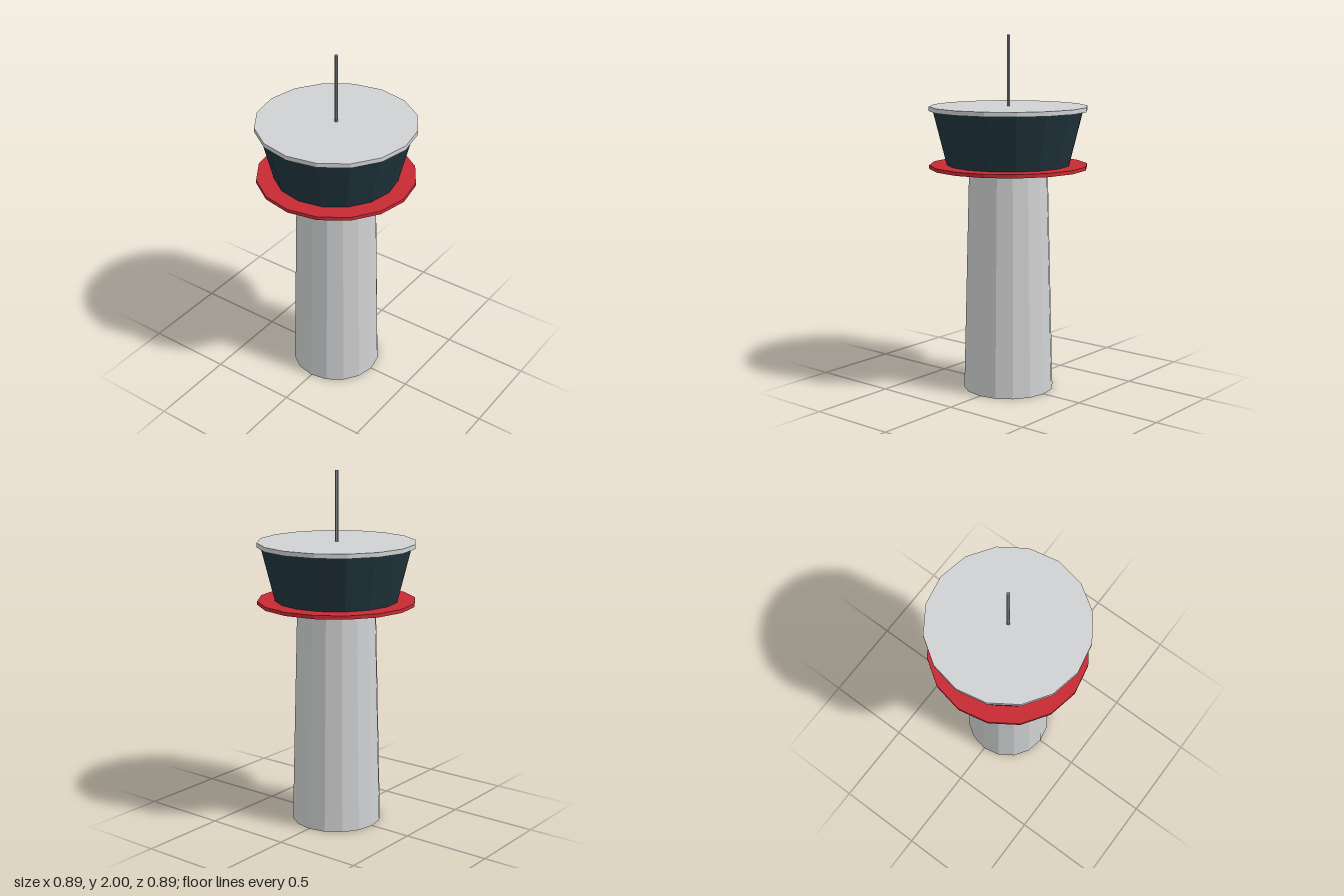
import * as THREE from 'three';

const flat = (name, color) => {
  const material = new THREE.MeshStandardMaterial({ color, flatShading: true });
  material.name = name;
  return material;
};

export function createModel() {
  const concrete = flat('pale concrete', 0xd0d1d2);
  const red = flat('signal red', 0xc62a33);
  const glass = flat('dark tinted glass', 0x20343c);
  const metal = flat('grey metal', 0x8a8e93);

  const tower = new THREE.Group();
  tower.name = 'controlTower';

  // Stacked faceted section between two heights
  const section = (name, material, y0, y1, bottomRadius, topRadius, sides = 16) => {
    const geometry = new THREE.CylinderGeometry(topRadius, bottomRadius, y1 - y0, sides);
    const mesh = new THREE.Mesh(geometry, material);
    mesh.name = name;
    mesh.position.y = (y0 + y1) / 2;
    tower.add(mesh);
  };

  section('shaft', concrete, 0, 1.265, 0.255, 0.221);
  section('balcony', red, 1.265, 1.285, 0.443, 0.443);
  section('glassCab', glass, 1.285, 1.585, 0.345, 0.42);
  section('roof', concrete, 1.585, 1.61, 0.442, 0.442);
  section('antenna', metal, 1.61, 2, 0.009, 0.009, 6);

  return tower;
}
